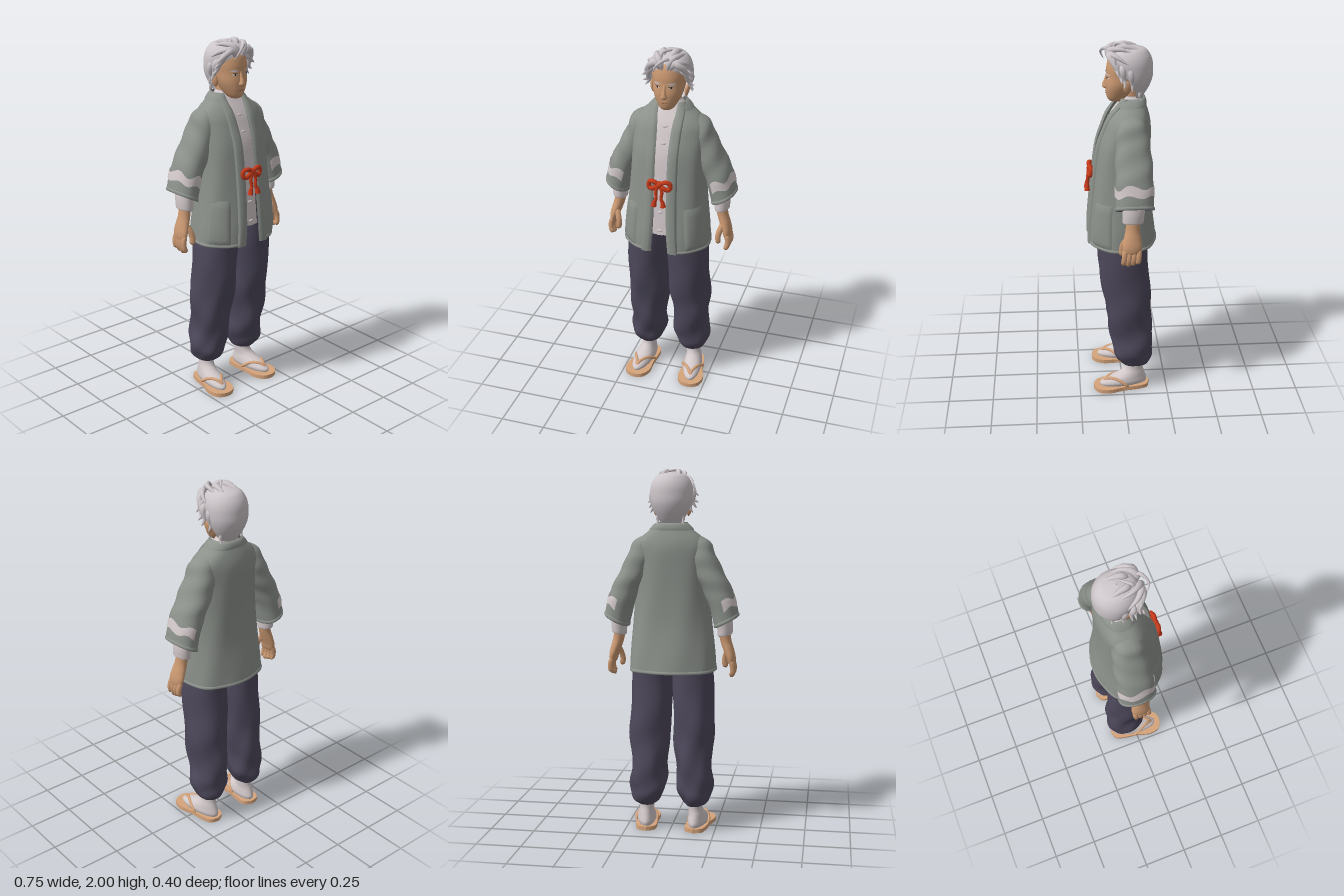
import * as THREE from 'three';
import { mergeGeometries } from 'three/addons/utils/BufferGeometryUtils.js';

const PI = Math.PI, FRONT = PI / 2;
const mat = (name, color, side = THREE.FrontSide) => Object.assign(new THREE.MeshStandardMaterial({ color, side }), { name });

// Surface from a rule fn(u, v) -> [x, y, z]; u runs upward, v runs around
function grid(fn, nu, nv, closed = false) {
  const pos = [], idx = [], w = closed ? nv : nv + 1;
  for (let i = 0; i <= nu; i++) for (let j = 0; j < w; j++) pos.push(...fn(i / nu, j / nv));
  for (let i = 0; i < nu; i++) for (let j = 0; j < nv; j++) {
    const a = i * w + j, b = i * w + (j + 1) % w, c = a + w, d = b + w;
    idx.push(a, c, b, b, c, d);
  }
  const g = new THREE.BufferGeometry();
  g.setAttribute('position', new THREE.Float32BufferAttribute(pos, 3));
  g.setIndex(idx);
  g.computeVertexNormals();
  return g;
}

// Smooth blend between cross-section rows
function blend(rows, u) {
  const i = Math.max(0, Math.min(Math.floor(u), rows.length - 2)), f = u - i;
  const row = j => rows[Math.max(0, Math.min(rows.length - 1, j))];
  return rows[0].map((_, k) => {
    const [a, b, c, d] = [row(i - 1)[k], row(i)[k], row(i + 1)[k], row(i + 2)[k]];
    return b + 0.5 * f * (c - a + f * (2 * a - 5 * b + 4 * c - d + f * (3 * (b - c) + d - a)));
  });
}

// Rows are [x, y, z, radiusX, radiusZ, tilt, frontOpeningAngle]
const ring = (rows, e = 1) => (u, th, off = 0) => {
  const [x, y, z, rx, rz, tilt = 0] = blend(rows, u);
  const p = v => Math.sign(v) * Math.abs(v) ** e;
  const a = (rx + off) * p(Math.cos(th));
  return [x + a * Math.cos(tilt), y + a * Math.sin(tilt), z + (rz + off) * p(Math.sin(th))];
};
const loft = (rows, e = 1, off = () => 0, nu = rows.length * 4, nv = 36) => {
  const f = ring(rows, e), n = rows.length - 1;
  return grid((u, v) => f(u * n, v * 2 * PI, off(u, v * 2 * PI)), nu, nv, true);
};
const openLoft = (rows, at, u1 = rows.length - 1, off = 0) => grid((u, v) => {
  const d = blend(rows, u * u1)[6];
  return at(u * u1, FRONT + d + v * (2 * PI - 2 * d), off);
}, 36, 56);

// Round tube along a spline with a radius rule
const rounded = t => Math.sqrt(Math.max(0, 1 - Math.abs(2 * t - 1) ** 7));
const pointed = t => Math.min(1, t * 4) * (1 - t) ** 0.65;
function tube(pts, r, shape = rounded, n = 14, sides = 8) {
  const c = new THREE.CatmullRomCurve3(pts.map(p => new THREE.Vector3(...p)));
  const fr = c.computeFrenetFrames(n, false);
  return grid((u, v) => {
    const i = Math.round(u * n), k = r * shape(u) + 0.0002;
    return c.getPointAt(u).addScaledVector(fr.normals[i], k * Math.cos(v * 2 * PI))
      .addScaledVector(fr.binormals[i], -k * Math.sin(v * 2 * PI)).toArray();
  }, n, sides, true);
}
function mirrored(geo) {
  const g = geo.clone().scale(-1, 1, 1);
  const ix = g.index ? Array.from(g.index.array) : Array.from({ length: g.attributes.position.count }, (_, i) => i);
  for (let i = 0; i < ix.length; i += 3) [ix[i + 1], ix[i + 2]] = [ix[i + 2], ix[i + 1]];
  g.setIndex(ix);
  g.computeVertexNormals();
  return g;
}

export function createModel() {
  const model = new THREE.Group(), D = THREE.DoubleSide;
  const jacketM = mat('sage cloth', 0x8c918b, D), pantsM = mat('dark violet cloth', 0x4d485b, D);
  const shirtM = mat('off white cloth', 0xd2c8ca, D), skinM = mat('skin', 0xcb9972);
  const lineM = mat('skin crease', 0x96694c, D), hairM = mat('grey hair', 0xccc5c9, D);
  const redM = mat('red cord', 0xc63a1b), soleM = mat('tan straw', 0xd6a47c), darkM = mat('dark eye', 0x2c2626, D);
  const add = (name, geo, m) => model.add(Object.assign(new THREE.Mesh(geo, m), { name }));
  const pair = (name, geo, m) => { add(name + 'Left', geo, m); add(name + 'Right', mirrored(geo), m); };

  // Jacket body, open at the front, with a dark lining
  const body = [
    [0, 0.90, -0.002, 0.24, 0.187, 0, 0.15], [0, 1.0, 0.002, 0.235, 0.18, 0, 0.125], [0, 1.15, 0.004, 0.22, 0.165, 0, 0.115],
    [0, 1.3, 0, 0.207, 0.155, 0, 0.12], [0, 1.45, -0.01, 0.2, 0.145, 0, 0.125], [0, 1.55, -0.027, 0.198, 0.128, 0, 0.14],
    [0, 1.60, -0.035, 0.192, 0.115, 0, 0.16], [0, 1.64, -0.042, 0.162, 0.098, 0, 0.22],
    [0, 1.68, -0.048, 0.112, 0.078, 0, 0.4], [0, 1.715, -0.052, 0.078, 0.064, 0, 0.65]];
  const bodyAt = ring(body, 0.85);
  const jacketAt = (u, th, off = 0) => bodyAt(u, th, off + 0.003 * Math.sin(th * 7 + u) * (1 - u / 9));
  add('jacketBody', openLoft(body, jacketAt), jacketM);
  add('jacketLining', openLoft(body, jacketAt, 2.5, -0.005), pantsM);
  pair('lapelBand', mirrored(grid((u, v) => {
    const r = blend(body, u * 9);
    return jacketAt(u * 9, FRONT + r[6] + v * 0.055 / r[3], 0.011 * Math.sin(PI * v) ** 0.3);
  }, 40, 8)), jacketM);
  add('collar', grid((u, v) => jacketAt(7.9 + u * 1.1, FRONT + 0.65 + v * (2 * PI - 1.3), 0.01 * Math.sin(PI * Math.min(1, u + 0.05)) ** 0.3), 6, 36), jacketM);
  pair('pocket', grid((u, v) => jacketAt(0.25 + u * 1.85, 0.3 + v * 0.72, 0.009 * (Math.sin(PI * u) * Math.sin(PI * v)) ** 0.2), 12, 12), jacketM);
  add('jacketHem', grid((u, v) => jacketAt(u * 0.25, FRONT + 0.15 + v * (2 * PI - 0.3), 0.004 * Math.sin(PI * u) ** 0.3), 5, 56), jacketM);

  // Wide sleeves with a dark lining and a wavy pale stripe
  const sleeve = [
    [0.305, 1.18, -0.05, 0.073, 0.102, 0.47], [0.275, 1.3, -0.05, 0.074, 0.1, 0.38], [0.23, 1.4, -0.05, 0.073, 0.098, 0.36],
    [0.18, 1.5, -0.048, 0.072, 0.092, 0.42], [0.15, 1.58, -0.045, 0.067, 0.078, 0.52], [0.1, 1.628, -0.045, 0.042, 0.05, 0.7]];
  const wrinkle = (u, th) => 0.003 * Math.sin(u * 26 + th * 2) * Math.sin(PI * u);
  const sleeveAt = ring(sleeve, 0.9);
  pair('sleeve', loft(sleeve, 0.9, wrinkle), jacketM);
  pair('sleeveLining', grid((u, v) => sleeveAt(u * 1.5, v * 2 * PI, -0.007), 8, 36, true), pantsM);
  pair('sleeveHem', grid((u, v) => sleeveAt(u * 0.22, v * 2 * PI, 0.004 * Math.sin(PI * u) ** 0.3), 5, 36, true), jacketM);
  pair('sleeveStripe', grid((u, v) => {
    const th = -1.5 + v * 3.5, low = 0.6 + 0.06 * Math.sin(th * 5), s = low + u * (0.38 + 0.07 * Math.sin(th * 4 + 1));
    return sleeveAt(s, th, 0.003 + wrinkle(s / 5, th));
  }, 6, 40), shirtM);
  pair('shirtCuff', loft([[0.296, 1.105, -0.042, 0.038, 0.052, 0.2], [0.295, 1.115, -0.042, 0.042, 0.056, 0.2],
    [0.292, 1.17, -0.045, 0.045, 0.06, 0.25], [0.27, 1.28, -0.05, 0.05, 0.07, 0.3]]), shirtM);

  // Shirt with placket and small knotted buttons
  const shirt = body.slice(1).map(([x, y, z, rx, rz]) => [x, y, z, rx - 0.02, rz - 0.018]);
  shirt.push([0, 1.725, -0.052, 0.054, 0.046]);
  const shirtAt = ring(shirt, 0.85);
  add('shirt', loft(shirt, 0.85), shirtM);
  add('shirtPlacket', grid((u, v) => shirtAt(u * 7.5, FRONT - 0.05 + v * 0.1, 0.004), 30, 3), shirtM);
  [0.25, 0.9, 3.6, 5.0].forEach((u, i) => {
    const [, y, z] = shirtAt(u, FRONT);
    add('shirtButton' + i, tube([[-0.013, y, z + 0.003], [0, y + 0.002, z + 0.006], [0.013, y, z + 0.003]], 0.006), shirtM);
  });

  // Baggy trousers gathered at the ankle
  const leg = [
    [0.135, 0.145, -0.07, 0.045, 0.06], [0.138, 0.165, -0.066, 0.07, 0.085], [0.136, 0.21, -0.06, 0.094, 0.104],
    [0.131, 0.27, -0.055, 0.101, 0.115], [0.126, 0.36, -0.046, 0.1, 0.119], [0.125, 0.48, -0.034, 0.107, 0.126],
    [0.122, 0.6, -0.022, 0.115, 0.132], [0.117, 0.75, -0.008, 0.115, 0.136], [0.112, 0.9, 0, 0.113, 0.138], [0.105, 1.08, 0, 0.105, 0.138]];
  pair('trouserLeg', loft(leg, 0.95, (u, th) =>
    (0.005 * Math.sin(th * 2 + u * 24) + 0.004 * Math.sin(th * 5 - u * 16)) * Math.sin(PI * Math.min(1, u + 0.05)), 60, 48), pantsM);

  // Feet: socks, sandals and straps
  const place = g => g.rotateY(0.13).translate(0.15, 0, 0);
  pair('sock', place(loft([[0, 0.018, 0, 0.045, 0.132], [0, 0.04, -0.003, 0.054, 0.136], [0, 0.066, -0.022, 0.05, 0.11],
    [0, 0.092, -0.05, 0.043, 0.073], [-0.004, 0.125, -0.064, 0.039, 0.052], [-0.006, 0.18, -0.068, 0.04, 0.052]])), shirtM);
  const half = [[0.047, -0.13], [0.06, -0.07], [0.062, 0.01], [0.074, 0.09], [0.052, 0.15]];
  const outline = [[0, -0.152], ...half, [0, 0.17], ...half.map(([x, z]) => [-x, z]).reverse(), [0, -0.152]];
  const sole = new THREE.Shape().setFromPoints(new THREE.SplineCurve(outline.map(p => new THREE.Vector2(...p))).getPoints(48));
  pair('sandalSole', place(new THREE.ExtrudeGeometry(sole, { depth: 0.023, bevelEnabled: false }).rotateX(PI / 2).translate(0, 0.023, 0)), soleM);
  const strap = s => tube([[0, 0.022, 0.125], [s * 0.006, 0.06, 0.098], [s * 0.036, 0.066, 0.045], [s * 0.058, 0.04, 0], [s * 0.058, 0.018, -0.025]], 0.009);
  pair('sandalStrap', place(mergeGeometries([strap(1), strap(-1)])), soleM);

  // Hands
  pair('hand', loft([[0.333, 0.94, -0.03, 0.008, 0.035], [0.332, 0.95, -0.033, 0.02, 0.047], [0.327, 0.985, -0.036, 0.026, 0.052],
    [0.313, 1.03, -0.038, 0.03, 0.045], [0.298, 1.08, -0.04, 0.031, 0.037], [0.285, 1.16, -0.045, 0.033, 0.04]]), skinM);
  const fingers = [0.88, 0.868, 0.876, 0.898].map((tip, i) => {
    const z = 0.005 - i * 0.025;
    return tube([[0.33, 0.97, z - 0.002], [0.341, 0.93, z], [0.337, 0.895, z + 0.004], [0.322, tip, z + 0.006]], 0.015);
  });
  fingers.push(tube([[0.31, 1.03, -0.015], [0.294, 0.985, 0.008], [0.288, 0.95, 0.016], [0.294, 0.912, 0.018]], 0.016));
  pair('fingers', mergeGeometries(fingers), skinM);

  // Head, neck and face
  const head = [
    [0, 1.683, 0.03, 0.004, 0.006], [0, 1.695, 0.026, 0.034, 0.042], [0, 1.73, 0.012, 0.058, 0.07], [0, 1.78, 0, 0.079, 0.085],
    [0, 1.83, -0.02, 0.087, 0.1], [0, 1.88, -0.03, 0.092, 0.108], [0, 1.93, -0.04, 0.082, 0.1], [0, 1.97, -0.04, 0.02, 0.03]];
  add('head', loft(head, 0.95), skinM);
  add('neck', new THREE.CylinderGeometry(0.052, 0.05, 0.2, 24).translate(0, 1.69, -0.052), skinM);
  add('nose', loft([[0, 1.755, 0.08, 0.004, 0.004], [0, 1.767, 0.082, 0.018, 0.019], [0, 1.785, 0.08, 0.013, 0.02],
    [0, 1.81, 0.076, 0.009, 0.014], [0, 1.845, 0.07, 0.008, 0.008]]), skinM);
  pair('ear', new THREE.SphereGeometry(1, 16, 12).scale(0.012, 0.036, 0.022).rotateZ(-0.2).translate(0.094, 1.785, -0.025), skinM);
  const faceAt = ring(head, 0.95);
  const facePatch = (u, th, hu, hw, off) => grid((a, v) =>
    faceAt(u + hu * Math.sin(PI * v) * (2 * a - 1), th - hw + v * hw * 2, off), 3, 12);
  pair('eye', facePatch(3.85, FRONT - 0.42, 0.1, 0.19, 0.003), shirtM);
  pair('iris', facePatch(3.85, FRONT - 0.4, 0.1, 0.07, 0.005), darkM);
  pair('eyelid', facePatch(3.96, FRONT - 0.42, 0.03, 0.22, 0.005), darkM);
  pair('eyebrow', facePatch(4.25, FRONT - 0.44, 0.1, 0.27, 0.006), hairM);
  add('mouth', facePatch(2.15, FRONT, 0.05, 0.36, 0.003), lineM);
  pair('cheekCrease', tube([[0.025, 1.778, 0.081], [0.036, 1.757, 0.072], [0.04, 1.737, 0.065]], 0.0018), lineM);

  // Hair cap, swept locks and loose strands
  const cap = [
    [0, 1.705, -0.068, 0.045, 0.036, 0, 1.7], [0, 1.735, -0.066, 0.07, 0.06, 0, 1.65], [0, 1.78, -0.065, 0.095, 0.086, 0, 1.5],
    [0, 1.825, -0.063, 0.11, 0.102, 0, 1.25], [0, 1.87, -0.055, 0.115, 0.111, 0, 0.95], [0, 1.91, -0.046, 0.112, 0.116, 0, 0.4],
    [0, 1.945, -0.042, 0.097, 0.105, 0, 0], [0, 1.972, -0.042, 0.068, 0.075, 0, 0], [0, 1.985, -0.042, 0.002, 0.002, 0, 0]];
  add('hairCap', openLoft(cap, ring(cap)), hairM);
  const locks = [
    [[0.012, 1.9, 0.065], [0.03, 1.962, 0.066], [0.06, 1.978, 0.02], [0.075, 1.962, -0.06]],
    [[0.025, 1.905, 0.062], [0.05, 1.95, 0.066], [0.09, 1.945, 0.03], [0.115, 1.91, -0.03]],
    [[0.02, 1.95, 0.055], [0.065, 1.945, 0.066], [0.102, 1.91, 0.045], [0.125, 1.875, 0.02]],
    [[0.045, 1.935, 0.05], [0.085, 1.925, 0.05], [0.11, 1.88, 0.03], [0.139, 1.857, 0.025]],
    [[0.06, 1.92, 0.04], [0.1, 1.89, 0.03], [0.112, 1.84, 0.01], [0.141, 1.82, 0.005]],
    [[0.085, 1.91, 0.01], [0.11, 1.87, 0], [0.109, 1.825, -0.01], [0.132, 1.79, -0.01]],
    [[0.085, 1.9, -0.035], [0.108, 1.85, -0.045], [0.1, 1.8, -0.05], [0.116, 1.765, -0.05]],
    [[0.015, 1.96, 0.03], [0.03, 1.982, 0], [0.042, 1.976, -0.06], [0.05, 1.955, -0.11]],
    [[0.06, 1.77, -0.095], [0.07, 1.735, -0.09], [0.068, 1.715, -0.095], [0.083, 1.698, -0.1]]];
  pair('hairLocks', mergeGeometries(locks.map((p, i) => tube(p, i < 8 ? 0.023 : 0.012, pointed))), hairM);
  add('looseStrands', mergeGeometries([
    [[0.03, 1.94, 0.05], [0.015, 1.975, 0.08], [-0.03, 1.95, 0.108], [-0.058, 1.9, 0.09]],
    [[-0.02, 1.95, 0.04], [-0.03, 1.985, 0.03], [0, 1.992, -0.01], [0.03, 1.982, -0.05]]].map(p => tube(p, 0.012, pointed))), hairM);

  // Red cord bow with tasselled tails
  add('bowKnot', new THREE.SphereGeometry(1, 16, 12).scale(0.02, 0.021, 0.018).translate(0, 1.308, 0.172), redM);
  pair('bowLoop', tube([[0, 1.308, 0.173], [0.03, 1.327, 0.176], [0.055, 1.32, 0.168], [0.058, 1.29, 0.166], [0.042, 1.282, 0.172], [0.02, 1.296, 0.176], [0, 1.306, 0.173]], 0.0125, rounded, 28), redM);
  pair('bowTail', tube([[0.004, 1.305, 0.178], [0.017, 1.27, 0.181], [0.014, 1.235, 0.185], [0.022, 1.205, 0.19]], 0.009), redM);
  pair('bowTassel', new THREE.CylinderGeometry(0.009, 0.016, 0.035, 12).rotateZ(0.15).translate(0.024, 1.205, 0.189), redM);
  return model;
}
